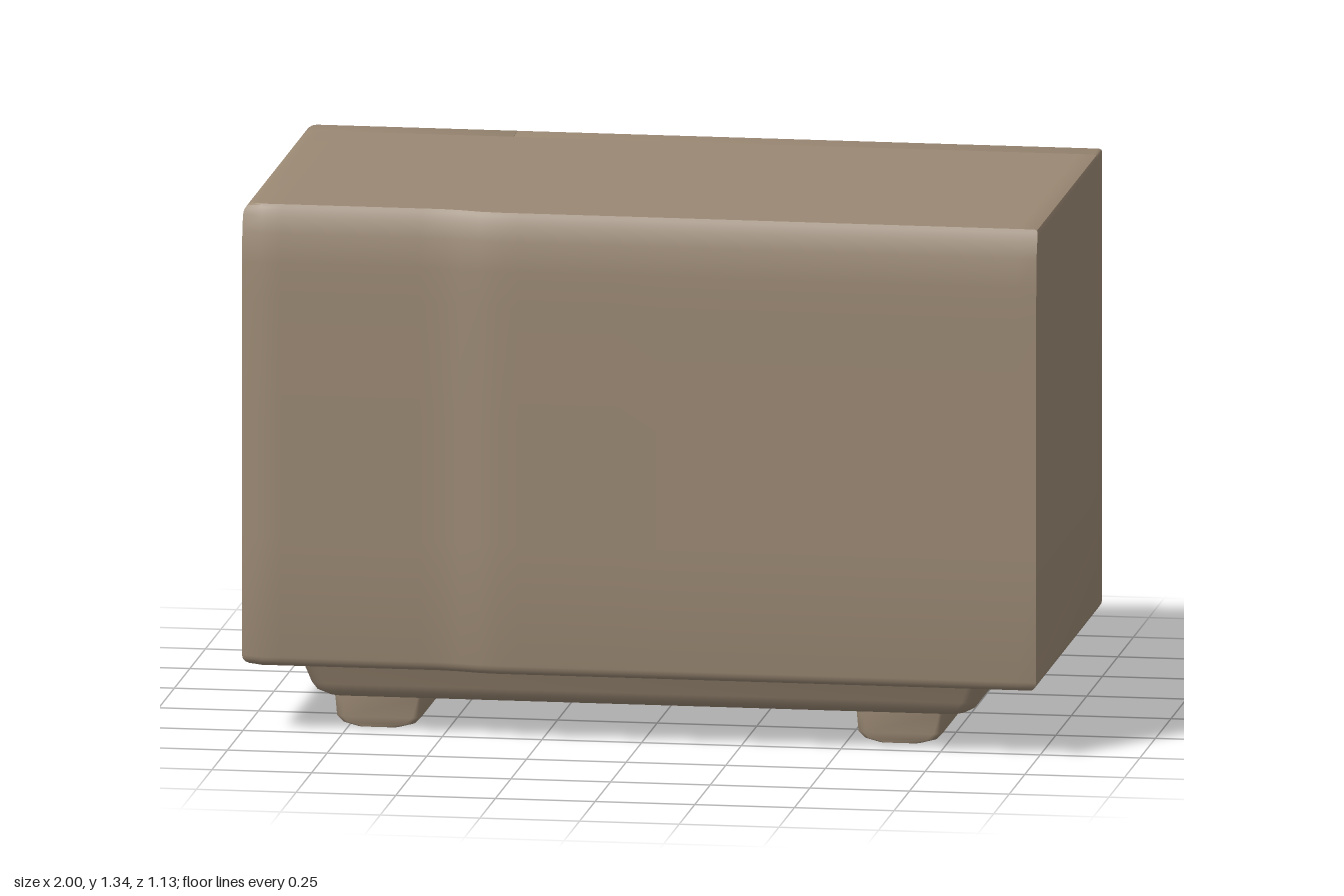
import * as THREE from 'three';
import { toCreasedNormals } from 'three/addons/utils/BufferGeometryUtils.js';

const material = new THREE.MeshStandardMaterial({ color: 0x9a8873, roughness: 0.8 });

// Rounded-rectangle outline, counter-clockwise, at depth z.
// radii: bottom right, top right, top left, bottom left
function ring([x0, x1, y0, y1, z, radii]) {
  const [br, tr, tl, bl] = radii;
  const corners = [[x1 - br, y0 + br, br], [x1 - tr, y1 - tr, tr], [x0 + tl, y1 - tl, tl], [x0 + bl, y0 + bl, bl]];
  const pts = [];
  corners.forEach(([cx, cy, r], q) => {
    for (let i = 0; i <= 4; i++) {
      const a = (q - 1 + i / 4) * Math.PI / 2;
      pts.push([cx + r * Math.cos(a), cy + r * Math.sin(a), z]);
    }
  });
  return pts;
}

// Skin a stack of outlines from +z to -z and cap both ends; a narrow inset band keeps the caps flat
function loft(rows, radii) {
  const inset = ([x0, x1, y0, y1, z]) => [x0 + 0.003, x1 - 0.003, y0 + 0.003, y1 - 0.003, z];
  const all = [inset(rows[0]), ...rows, inset(rows[rows.length - 1])];
  const rings = all.map(row => ring([...row, radii])), n = rings[0].length, v = [];
  const tri = (...p) => p.forEach(q => v.push(...q));
  for (let i = 0; i < rings.length - 1; i++)
    for (let j = 0; j < n; j++) {
      const k = (j + 1) % n;
      const a = rings[i][j], b = rings[i][k], c = rings[i + 1][k], d = rings[i + 1][j];
      tri(a, d, b);
      tri(b, d, c);
    }
  const mid = ([x0, x1, y0, y1, z]) => [(x0 + x1) / 2, (y0 + y1) / 2, z];
  const first = rings[0], last = rings[rings.length - 1];
  for (let j = 0; j < n; j++) {
    const k = (j + 1) % n;
    tri(mid(all[0]), first[j], first[k]);
    tri(mid(all[all.length - 1]), last[k], last[j]);
  }
  const g = new THREE.BufferGeometry();
  g.setAttribute('position', new THREE.Float32BufferAttribute(v, 3));
  return toCreasedNormals(g, 0.75);
}

// Turned part whose axis points out of the control face (-z)
function turned(points, segments = 40) {
  const g = new THREE.LatheGeometry(points.map(p => new THREE.Vector2(...p)), segments);
  return toCreasedNormals(g.rotateX(-Math.PI / 2), 0.7);
}

// Cabinet: a box whose rows follow [height, left inset, right inset, front drop]
function cabinetGeometry() {
  const rows = [
    [0.17, 0.025, 0.025, 0.025], [0.172, 0.0154, 0.0154, 0.0154], [0.1773, 0.0073, 0.0073, 0.0073],
    [0.1854, 0.0019, 0.0019, 0.0019], [0.195, 0, 0, 0], [0.5, 0, 0, 0], [0.8, 0, 0, 0], [1.1, 0, 0, 0],
    [1.19, 0, 0, 0.002], [1.265, 0, 0, 0.006], [1.305, 0, 0, 0.018], [1.3165, 0.0023, 0, 0.022],
    [1.3262, 0.0088, 0, 0.026], [1.3327, 0.0185, 0.0024, 0.029], [1.335, 0.03, 0.008, 0.03]];
  const g = new THREE.BoxGeometry(2, 1, 1, 40, rows.length - 1, 1);
  const p = g.attributes.position;
  for (let i = 0; i < p.count; i++) {
    const x = p.getX(i);
    const [y, left, right, drop] = rows[Math.round((p.getY(i) + 0.5) * (rows.length - 1))];
    // the plain face is thicker over most of its width
    const front = 0.537 + 0.023 * THREE.MathUtils.smoothstep(x, -0.5, -0.36) + 0.006 * Math.max(x, 0)
      - drop - (x < -0.99 ? 0.02 : 0);
    p.setXYZ(i, x < -0.99 ? x + left : x > 0.99 ? x - right : x, y, p.getZ(i) > 0 ? front : -0.42);
  }
  return toCreasedNormals(g, 0.6);
}

export function createModel() {
  const model = new THREE.Group();
  function add(name, geometry, x = 0, y = 0, z = 0, parent = model) {
    const m = new THREE.Mesh(geometry, material);
    m.name = name;
    m.position.set(x, y, z);
    parent.add(m);
  }
  const bar = (name, w, h, d, x, y, z, parent) => add(name, new THREE.BoxGeometry(w, h, d), x, y, z, parent);
  function group(name, x, y) {
    const g = new THREE.Group();
    g.name = name;
    g.position.set(x, y, -0.505);
    model.add(g);
    return g;
  }

  add('cabinet', cabinetGeometry());

  // Screen surround with a rolled lip leading into the recess
  add('screenFrame', loft([
    [-0.465, 1, 0.17, 1.335, -0.42], [-0.465, 1, 0.17, 1.335, -0.496],
    [-0.45, 0.998, 0.175, 1.333, -0.501], [-0.43, 0.988, 0.188, 1.327, -0.505],
    [-0.405, 0.96, 0.212, 1.31, -0.505], [-0.385, 0.928, 0.232, 1.29, -0.496],
    [-0.355, 0.892, 0.252, 1.262, -0.475], [-0.328, 0.872, 0.264, 1.245, -0.45]], [0.025, 0.008, 0.001, 0.001]));

  // Screen: nearly flat and almost flush, with quickly rounded edges
  const glass = new THREE.PlaneGeometry(1.184, 0.967, 40, 32).rotateY(Math.PI);
  const gp = glass.attributes.position;
  for (let i = 0; i < gp.count; i++) {
    const u = gp.getX(i) / 0.592, w = gp.getY(i) / 0.4835;
    gp.setZ(i, -0.037 * (1 - Math.abs(u) ** 16) * (1 - Math.abs(w) ** 16));
  }
  glass.computeVertexNormals();
  add('screen', glass, 0.272, 0.7535, -0.453);

  // Control panel
  add('controlPanel', loft([
    [-1, -0.465, 0.17, 1.335, -0.42], [-1, -0.465, 0.17, 1.335, -0.496],
    [-0.997, -0.472, 0.175, 1.333, -0.501], [-0.988, -0.488, 0.188, 1.327, -0.505]], [0.001, 0.001, 0.03, 0.025]));

  // Upper knob
  const dish = [[0.068, 0], [0.064, 0.005], [0.056, 0.005], [0.046, 0.001], [0, 0.001]];
  const upper = group('upperKnob', -0.6, 1.15);
  add('knobDish', turned(dish), 0, 0, 0, upper);
  add('knobCap', turned([[0.034, 0], [0.034, 0.024], [0.03, 0.03], [0.02, 0.033], [0, 0.034]], 28), 0, 0, 0, upper);

  // Lower knob with a rounded finger grip
  const lower = group('lowerKnob', -0.6, 0.89);
  add('knobDish', turned(dish), 0, 0, 0, lower);
  add('knobHub', turned([[0.044, 0], [0.044, 0.014], [0.038, 0.02], [0, 0.022]], 28), 0, 0, 0, lower);
  const grip = new THREE.CylinderGeometry(0.052, 0.052, 0.022, 28).rotateZ(Math.PI / 2).scale(1, 1, 0.6);
  add('fingerGrip', grip, 0, 0, -0.029, lower);

  // Ventilation bars
  for (let i = 0; i < 5; i++) {
    const y = 1.06 + i * 0.044;
    bar('ventBar', 0.2, 0.014, 0.012, -0.82, y, -0.51);
    for (const x of [-0.9, -0.82, -0.74]) bar('ventStud', 0.022, 0.022, 0.022, x, y, -0.514);
  }

  // Small round grille
  const grille = group('roundGrille', -0.822, 0.882);
  add('grilleRim', turned([[0.112, 0], [0.112, 0.008], [0.106, 0.011], [0.096, 0.011], [0.09, 0.003], [0, 0.003]]), 0, 0, 0, grille);
  for (const x of [-0.03, 0, 0.03]) bar('grilleUpright', 0.014, 0.17, 0.012, x, 0, -0.005, grille);
  bar('grilleCrossbar', 0.19, 0.014, 0.012, 0, 0, -0.006, grille);

  // Slats behind the speaker
  for (let i = 0; i < 11; i++)
    bar('speakerSlat', 0.465, 0.024, 0.014, -0.716, 0.262 + i * 0.0475, -0.507);

  // Speaker dish with rim and cross
  const speaker = group('speaker', -0.716, 0.51);
  add('speakerDish', turned([[0.218, 0.006], [0.23, 0.014], [0.23, 0.038], [0.224, 0.047], [0.214, 0.049],
    [0.203, 0.044], [0.195, 0.03], [0.1, 0.024], [0, 0.022]], 56), 0, 0, 0, speaker);
  bar('crossUpright', 0.024, 0.4, 0.022, 0, 0, -0.029, speaker);
  bar('crossBar', 0.4, 0.024, 0.022, 0, 0, -0.029, speaker);

  // Small dial and buttons along the lower edge
  add('smallDial', turned([[0.02, 0], [0.018, 0.012], [0.025, 0.018], [0.025, 0.028], [0.016, 0.036], [0, 0.038]], 16), -0.88, 0.213, -0.505);
  for (const x of [-0.56, -0.61])
    add('smallButton', turned([[0.013, 0], [0.013, 0.006], [0, 0.009]], 14), x, 0.215, -0.505);

  // Plinth and skid feet, skinned downwards (outline y becomes -z, depth becomes height)
  const down = (rows, radii) => loft(rows, radii).rotateX(-Math.PI / 2);
  add('plinth', down([
    [-0.865, 0.865, -0.495, 0.43, 0.18], [-0.853, 0.853, -0.486, 0.42, 0.16],
    [-0.838, 0.838, -0.476, 0.41, 0.12], [-0.825, 0.825, -0.468, 0.403, 0.1],
    [-0.8, 0.8, -0.45, 0.39, 0.086]], [0.04, 0.04, 0.04, 0.04]));
  for (const [name, x] of [['footRight', -0.676], ['footLeft', 0.632]])
    add(name, down([
      [-0.118, 0.118, -0.405, 0.3, 0.1], [-0.11, 0.11, -0.405, 0.296, 0.07],
      [-0.106, 0.106, -0.405, 0.294, 0.025], [-0.09, 0.09, -0.405, 0.286, 0.009],
      [-0.055, 0.055, -0.405, 0.278, 0]], [0.02, 0.045, 0.045, 0.02]), x);

  return model;
}
